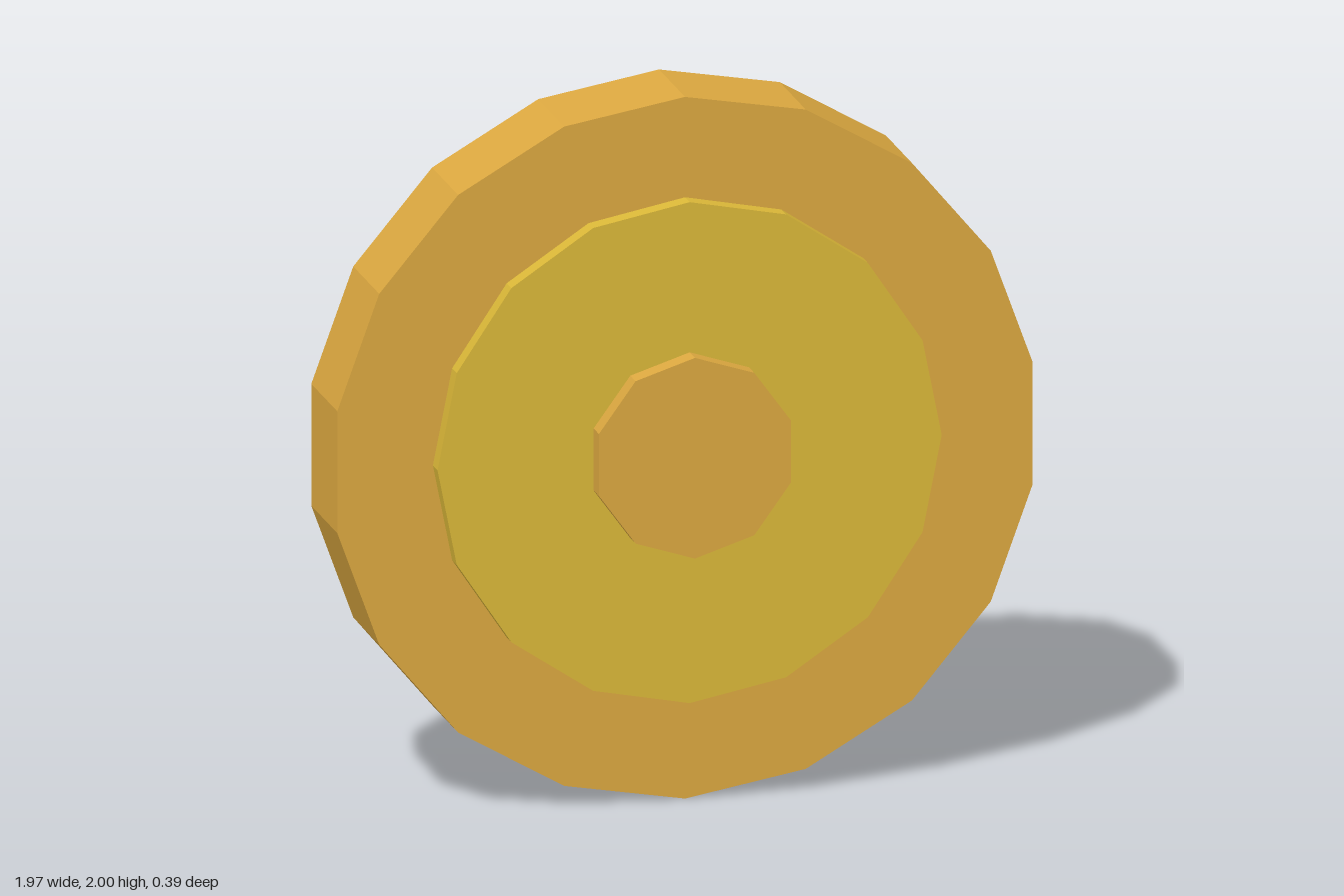
import * as THREE from 'three';

export function createModel() {
  const group = new THREE.Group();
  group.name = 'steppedDisc';

  const amber = new THREE.MeshStandardMaterial({ color: 0xdca840, flatShading: true });
  amber.name = 'amber gold';
  const yellow = new THREE.MeshStandardMaterial({ color: 0xdbb838, flatShading: true });
  yellow.name = 'yellow gold';

  // Faceted disc facing +z, with a corner at the top and bottom
  function disc(name, radius, sides, back, front, material) {
    const geometry = new THREE.CylinderGeometry(radius, radius, front - back, sides);
    geometry.rotateX(Math.PI / 2);
    const mesh = new THREE.Mesh(geometry, material);
    mesh.name = name;
    mesh.position.set(0, 1, (back + front) / 2);
    group.add(mesh);
  }

  disc('outerDisc', 1, 18, -0.197, 0.088, amber);
  disc('raisedPlate', 0.714, 16, 0.088, 0.139, yellow);
  disc('centreHub', 0.286, 10, 0.139, 0.197, amber);

  return group;
}
